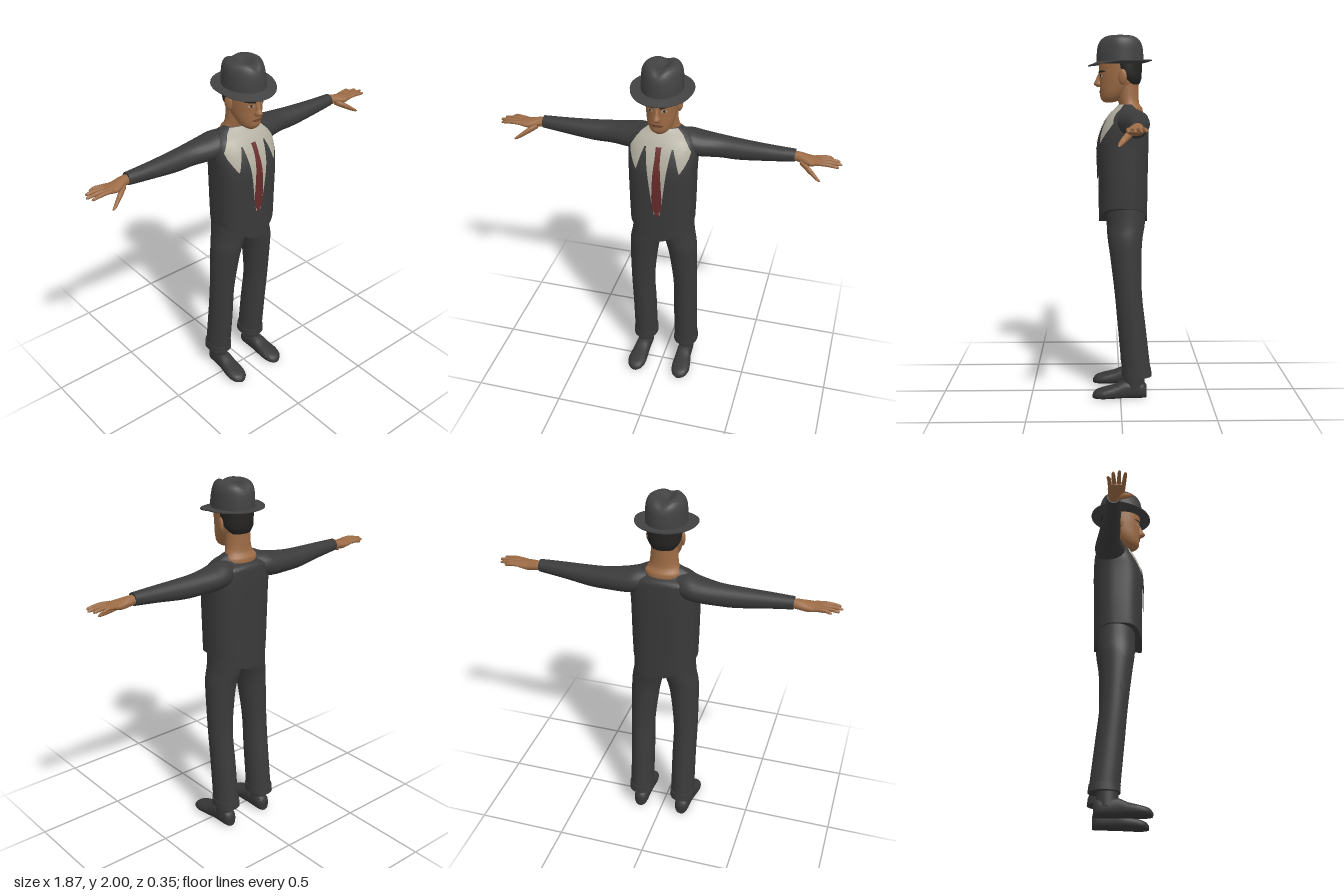
import * as THREE from 'three';
import { toCreasedNormals } from 'three/addons/utils/BufferGeometryUtils.js';

const mat = (name, color) => {
  const m = new THREE.MeshStandardMaterial({ color });
  m.name = name;
  return m;
};
const clamp01 = (v) => Math.min(1, Math.max(0, v));

// Catmull-Rom refinement of cross-sections [t, u, v, ru, rv, n]
function refine(sections, steps) {
  const S = sections.map((s) => [...s, 2].slice(0, 6));
  const out = [];
  for (let i = 0; i < S.length - 1; i++) {
    const a = S[Math.max(i - 1, 0)], b = S[i], c = S[i + 1], d = S[Math.min(i + 2, S.length - 1)];
    for (let k = 0; k < steps; k++) {
      const t = k / steps;
      out.push(b.map((_, q) => 0.5 * (2 * b[q] + (c[q] - a[q]) * t
        + (2 * a[q] - 5 * b[q] + 4 * c[q] - d[q]) * t * t
        + (3 * b[q] - a[q] - 3 * c[q] + d[q]) * t * t * t)));
    }
  }
  out.push(S[S.length - 1]);
  return out;
}

// Capped superellipse loft along an axis, with an optional rule that moves each point
function loft(dense, axis = 'y', seg = 24, rule = null, crease = 0.9) {
  const pos = [], idx = [];
  const place = (t, u, v) => {
    const p = axis === 'y' ? new THREE.Vector3(u, t, v)
      : axis === 'x' ? new THREE.Vector3(t, v, u) : new THREE.Vector3(v, u, t);
    if (rule) rule(p);
    pos.push(p.x, p.y, p.z);
  };
  for (const [t, u, v, ru, rv, n] of dense) {
    for (let j = 0; j < seg; j++) {
      const a = (j / seg) * Math.PI * 2, c = Math.cos(a), s = Math.sin(a);
      place(t, u + ru * Math.sign(c) * Math.abs(c) ** (2 / n), v + rv * Math.sign(s) * Math.abs(s) ** (2 / n));
    }
  }
  const last = dense.length - 1, bottom = pos.length / 3, top = bottom + 1;
  place(...dense[0].slice(0, 3));
  place(...dense[last].slice(0, 3));
  for (let j = 0; j < seg; j++) {
    const k = (j + 1) % seg;
    for (let i = 0; i < last; i++) {
      const a = i * seg + j, b = a + seg, c = i * seg + k, d = c + seg;
      idx.push(a, b, c, b, d, c);
    }
    idx.push(bottom, j, k, top, last * seg + k, last * seg + j);
  }
  const g = new THREE.BufferGeometry();
  g.setAttribute('position', new THREE.Float32BufferAttribute(pos, 3));
  g.setIndex(idx);
  return toCreasedNormals(g, crease);
}

// Mirror a non-indexed geometry across x = 0
function mirror(g) {
  const p = g.toNonIndexed ? (g.index ? g.toNonIndexed() : g.clone()) : g;
  for (const key of ['position', 'normal']) {
    const a = p.attributes[key].array;
    for (let i = 0; i < a.length; i += 9) {
      for (let q = 0; q < 3; q++) [a[i + 3 + q], a[i + 6 + q]] = [a[i + 6 + q], a[i + 3 + q]];
      for (let q = 0; q < 9; q += 3) a[i + q] *= -1;
    }
  }
  return p;
}

// Front z of a vertical loft at (x, y)
function frontZ(dense, x, y) {
  let i = 0;
  while (i < dense.length - 2 && dense[i + 1][0] < y) i++;
  const f = clamp01((y - dense[i][0]) / (dense[i + 1][0] - dense[i][0]));
  const [, cx, cz, rx, rz, n] = dense[i].map((v, q) => v + (dense[i + 1][q] - v) * f);
  return cz + rz * Math.max(0, 1 - (Math.abs(x - cx) / rx) ** n) ** (1 / n);
}

// Thin facing laid on the front of a loft; rows are [y, x0, x1] from the top down
function patch(dense, rows, lift) {
  const pos = [], idx = [], cols = 20, steps = 5, w = cols + 1;
  const count = (rows.length - 1) * steps;
  for (let r = 0; r <= count; r++) {
    const i = Math.min(Math.floor(r / steps), rows.length - 2), f = r / steps - i;
    const [y, x0, x1] = rows[i].map((v, q) => v + (rows[i + 1][q] - v) * f);
    for (let j = 0; j <= cols; j++) {
      const x = x0 + (x1 - x0) * j / cols;
      pos.push(x, y, frontZ(dense, x, y) + lift);
      if (r < count && j < cols) {
        const a = r * w + j, c = a + w;
        idx.push(a, c, a + 1, a + 1, c, c + 1);
      }
    }
  }
  const g = new THREE.BufferGeometry();
  g.setAttribute('position', new THREE.Float32BufferAttribute(pos, 3));
  g.setIndex(idx);
  g.computeVertexNormals();
  return g;
}

export function createModel() {
  const root = new THREE.Group();
  root.name = 'manInHat';
  const suit = mat('charcoalSuit', 0x3a3a3a), felt = mat('hatFelt', 0x424242), skin = mat('skin', 0x9c6b45);
  const cream = mat('shirtCream', 0xb2aea0), red = mat('tieRed', 0x682c2c), hair = mat('hair', 0x242322);
  const leather = mat('shoeLeather', 0x373737), lip = mat('lips', 0x6f432f);
  const add = (name, geo, m) => {
    const mesh = new THREE.Mesh(geo, m);
    mesh.name = name;
    root.add(mesh);
  };
  const pair = (name, geo, m) => {
    add('left' + name, geo, m);
    add('right' + name, mirror(geo), m);
  };
  const pairPatch = (name, dense, rows, lift, m) => {
    add('left' + name, patch(dense, rows, lift), m);
    add('right' + name, patch(dense, rows.map(([y, a, b]) => [y, -b, -a]), lift), m);
  };

  // Jacket: pointed hem front and back, collar scooped behind
  const torso = refine([
    [1.07, 0, -0.016, 0.176, 0.134, 2.7], [1.2, 0, -0.016, 0.18, 0.136, 2.7],
    [1.4, 0, -0.016, 0.183, 0.14, 2.7], [1.5, 0, -0.028, 0.188, 0.128, 2.5],
    [1.57, 0, -0.045, 0.175, 0.106, 2.3], [1.61, 0, -0.057, 0.13, 0.078, 2], [1.63, 0, -0.053, 0.085, 0.057, 2],
  ], 6);
  add('jacket', loft(torso, 'y', 64, (p) => {
    const hem = clamp01((1.22 - p.y) / 0.15), side = Math.min(1, Math.abs(p.x) / 0.175);
    p.y -= 0.09 * hem * Math.cos(side * Math.PI / 2) ** 1.4;
    p.y -= 0.035 * clamp01((p.y - 1.56) / 0.06) * clamp01((-0.06 - p.z) / 0.05);
  }), suit);

  // Shirt, lapels and tie
  const sym = (rows) => rows.map(([y, x]) => [y, -x, x]);
  add('shirt', patch(torso, sym([[1.628, 0.078], [1.6, 0.115], [1.57, 0.14], [1.53, 0.164], [1.5, 0.158],
    [1.46, 0.14], [1.43, 0.122], [1.41, 0.1], [1.35, 0.07], [1.25, 0.045], [1.16, 0.02]]), 0.003), cream);
  pairPatch('Lapel', torso, [[1.55, 0.07, 0.078], [1.5, 0.062, 0.095], [1.43, 0.052, 0.115],
    [1.35, 0.042, 0.11], [1.25, 0.03, 0.075], [1.15, 0.014, 0.035]], 0.006, suit);
  add('tie', patch(torso, sym([[1.555, 0.015], [1.5, 0.014], [1.4, 0.022], [1.27, 0.028], [1.2, 0.025],
    [1.15, 0.004]]), 0.007), red);

  // Sleeves
  pair('Sleeve', loft(refine([
    [0.08, -0.06, 1.54, 0.07, 0.065], [0.14, -0.065, 1.536, 0.085, 0.07], [0.2, -0.072, 1.527, 0.083, 0.066],
    [0.3, -0.08, 1.521, 0.064, 0.06], [0.4, -0.077, 1.518, 0.056, 0.056], [0.55, -0.071, 1.524, 0.045, 0.044],
    [0.69, -0.07, 1.53, 0.034, 0.034],
  ], 5), 'x'), suit);

  // Hands
  pair('Palm', loft(refine([
    [0.66, -0.07, 1.528, 0.024, 0.024], [0.71, -0.069, 1.526, 0.03, 0.026], [0.76, -0.06, 1.518, 0.042, 0.025],
    [0.8, -0.058, 1.52, 0.045, 0.017], [0.825, -0.058, 1.523, 0.042, 0.01],
  ], 4), 'x'), skin);
  const fingers = [[-0.092, -0.104, 0.885], [-0.07, -0.08, 0.92], [-0.047, -0.05, 0.933], [-0.024, -0.02, 0.92]];
  fingers.forEach(([z0, z1, tip], i) => pair('Finger' + (i + 1), loft(refine([
    [0.79, z0, 1.523, 0.01, 0.01], [0.85, (z0 + z1) / 2, 1.527, 0.0105, 0.0105],
    [tip - 0.012, z1, 1.522, 0.008, 0.008], [tip, z1, 1.52, 0.003, 0.003],
  ], 3), 'x', 10), skin));
  pair('Thumb', loft(refine([
    [0.72, -0.045, 1.512, 0.014, 0.015], [0.765, -0.018, 1.49, 0.016, 0.018],
    [0.815, 0.012, 1.46, 0.011, 0.011], [0.835, 0.02, 1.45, 0.004, 0.004],
  ], 4), 'x', 12), skin);

  // Trousers with turned cuffs
  pair('TrouserLeg', loft(refine([
    [0.14, 0.126, -0.09, 0.068, 0.08], [0.4, 0.125, -0.063, 0.068, 0.077], [0.6, 0.127, -0.043, 0.068, 0.075],
    [0.8, 0.116, -0.03, 0.078, 0.086], [0.9, 0.104, -0.026, 0.086, 0.096],
    [0.98, 0.086, -0.03, 0.09, 0.105], [1.1, 0.083, -0.03, 0.085, 0.108],
  ], 5), 'y', 32), suit);
  pair('Cuff', loft(refine([[0.128, 0.126, -0.091, 0.072, 0.084, 2.2], [0.17, 0.126, -0.088, 0.071, 0.082, 2.2]], 1),
    'y', 32), suit);

  // Socks and shoes
  pair('Sock', loft(refine([[0.05, 0.132, -0.078, 0.042, 0.055], [0.16, 0.13, -0.075, 0.04, 0.055]], 1)), leather);
  pair('Shoe', loft(refine([
    [-0.146, 0.036, 0.128, 0.034, 0.026, 2.6], [-0.12, 0.047, 0.128, 0.047, 0.04, 2.6],
    [-0.03, 0.05, 0.13, 0.05, 0.044, 2.6], [0.03, 0.038, 0.134, 0.038, 0.05, 2.6],
    [0.09, 0.03, 0.137, 0.03, 0.054, 2.6], [0.135, 0.023, 0.137, 0.023, 0.042, 2.4],
    [0.155, 0.015, 0.137, 0.012, 0.018, 2],
  ], 4), 'z'), leather);

  // Neck and head
  add('neck', loft(refine([
    [1.56, 0, -0.06, 0.095, 0.065], [1.605, 0, -0.06, 0.1, 0.064], [1.63, 0, -0.051, 0.084, 0.056],
    [1.67, 0, -0.042, 0.074, 0.06], [1.77, 0, -0.035, 0.07, 0.066],
  ], 4), 'y', 32), skin);
  const head = refine([
    [1.64, 0, 0.06, 0.028, 0.028], [1.66, 0, 0.046, 0.053, 0.06], [1.7, 0, 0.024, 0.071, 0.086, 2.1],
    [1.75, 0, 0.002, 0.081, 0.11, 2.1], [1.8, 0, 0, 0.085, 0.114, 2.1], [1.87, 0, 0, 0.086, 0.115, 2.1],
  ], 5);
  add('head', loft(head, 'y', 40), skin);
  add('nose', loft(refine([
    [1.722, 0, 0.108, 0.014, 0.014], [1.738, 0, 0.115, 0.02, 0.029], [1.76, 0, 0.112, 0.012, 0.022],
    [1.797, 0, 0.107, 0.009, 0.011],
  ], 4), 'y', 16), skin);
  add('mouth', patch(head, sym([[1.704, 0.014], [1.698, 0.034], [1.69, 0.02]]), 0.003), lip);
  pairPatch('Eyebrow', head, [[1.812, 0.032, 0.058], [1.805, 0.016, 0.067], [1.798, 0.015, 0.03]], 0.004, hair);
  pairPatch('EyeWhite', head, [[1.788, 0.03, 0.044], [1.782, 0.022, 0.054], [1.777, 0.03, 0.046]], 0.003, cream);
  pairPatch('Iris', head, [[1.789, 0.032, 0.044], [1.777, 0.034, 0.042]], 0.005, hair);
  const ear = new THREE.SphereGeometry(1, 14, 10).toNonIndexed();
  ear.scale(0.013, 0.042, 0.024);
  ear.rotateY(-0.3);
  ear.translate(0.089, 1.777, -0.012);
  pair('Ear', ear, skin);
  add('hair', loft(refine([
    [1.735, 0, -0.062, 0.06, 0.042], [1.765, 0, -0.05, 0.082, 0.066], [1.8, 0, -0.036, 0.09, 0.083],
    [1.87, 0, -0.026, 0.092, 0.094],
  ], 4), 'y', 32), hair);

  // Hat crown with centre crease and pinched front
  add('hatCrown', loft(refine([
    [1.85, 0, 0, 0.109, 0.129], [1.9, 0, 0, 0.108, 0.127], [1.95, 0, 0, 0.106, 0.122], [1.98, 0, 0, 0.097, 0.11],
    [1.996, 0, 0, 0.08, 0.09], [2.001, 0, 0, 0.055, 0.065], [1.993, 0, 0, 0.03, 0.038], [1.985, 0, 0, 0.008, 0.01],
  ], 4), 'y', 40, (p) => {
    const high = clamp01((p.y - 1.9) / 0.09);
    p.y -= 0.016 * high * Math.exp(-((p.x / 0.032) ** 2));
    p.x *= 1 - 0.22 * high * clamp01((p.z - 0.02) / 0.09);
  }, 1.2), felt);

  // Brim: turned down in front, up at the sides and back
  add('hatBrim', loft(refine([
    [1.848, 0, 0, 0.1, 0.12], [1.85, 0, 0, 0.135, 0.148], [1.852, 0, 0, 0.165, 0.175],
    [1.857, 0, 0, 0.165, 0.175], [1.857, 0, 0, 0.135, 0.148], [1.862, 0, 0, 0.106, 0.126],
  ], 1), 'y', 48, (p) => {
    const out = clamp01((Math.hypot(p.x / 0.165, p.z / 0.175) - 0.65) / 0.35), f = p.z / 0.175;
    p.y += out * (f > 0 ? 0.009 - 0.027 * f : 0.009 + 0.003 * f * f);
  }), felt);

  return root;
}
